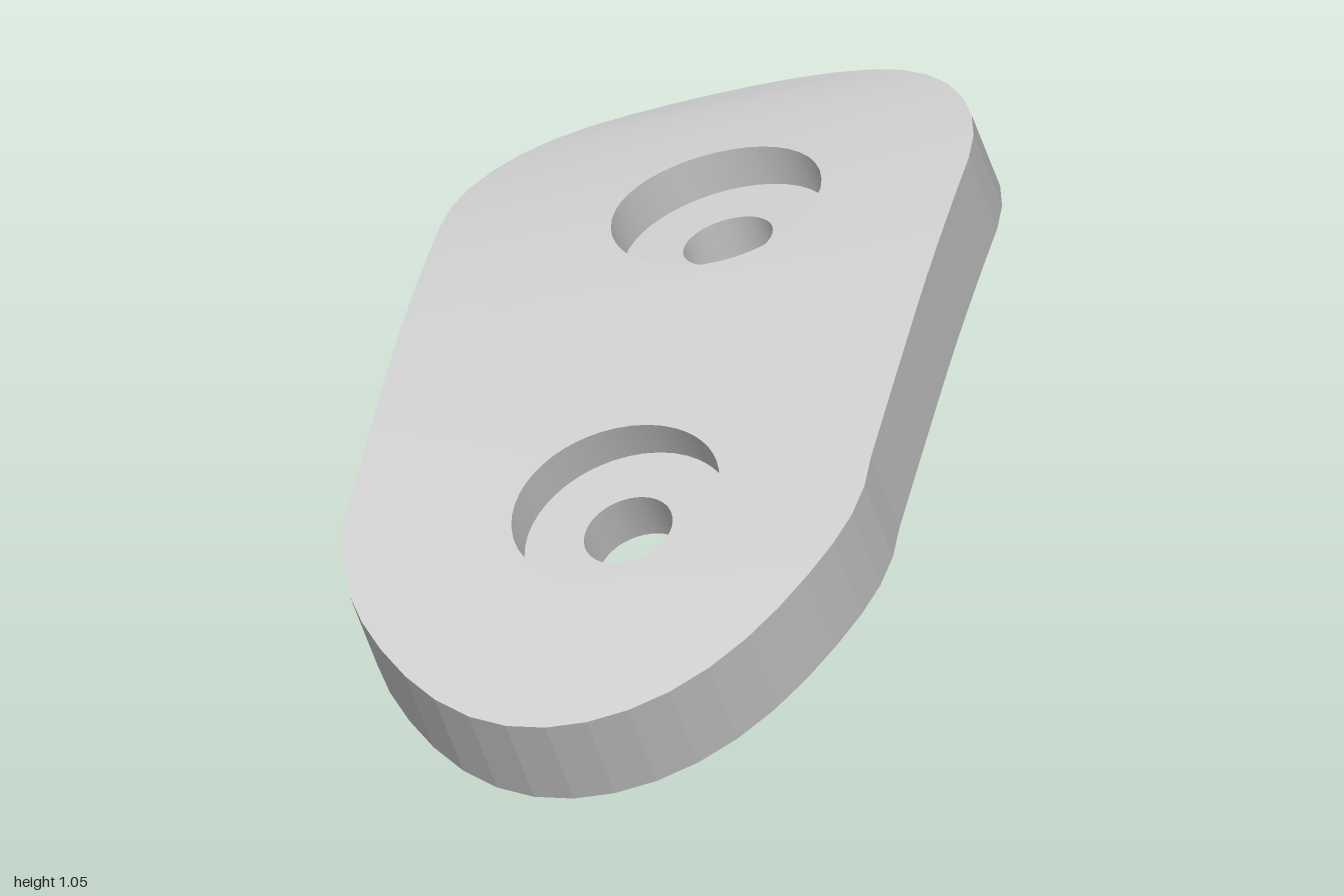
import * as THREE from 'three';
import { mergeGeometries, mergeVertices } from 'three/addons/utils/BufferGeometryUtils.js';

const V = (x, y, z) => new THREE.Vector3(x, y, z);

// Height of the curved top face along its length, plus a sideways tilt that grows to the ends
const zs = [-1, -0.8, -0.6, -0.4, -0.2, 0, 0.2, 0.4, 0.6, 0.8, 1];
const ys = [0.95, 0.956, 0.929, 0.886, 0.828, 0.757, 0.668, 0.572, 0.468, 0.35, 0.174];
const spine = new THREE.CubicInterpolant(zs, ys, 1, [0]);
const topY = (x, z) =>
  spine.evaluate(THREE.MathUtils.clamp(z, -1, 1))[0] + (0.195 + 0.1 * z * z) * (x + 0.02);

// The underside is the top face moved along the plate's thickness
const DROP = V(0.042, -0.172, -0.073);
const bottomY = (x, z) => topY(x - DROP.x, z - DROP.z) + DROP.y;

const SEAM = 0.085, HALF_WIDTH = 0.555;
const centreX = (z) => -0.03 + 0.015 * (z + 0.4);

const ends = [
  { sign: 1, z: 0.5, depth: 0.5, skew: 0.08, hole: [0.007, 0.52], axis: V(0.035, -0.15, -0.08) },
  { sign: -1, z: -0.4, depth: 0.525, skew: -0.02, hole: [0.007, -0.35], axis: V(0.04, -0.17, -0.04) },
];

// Joins matching loops of points with smooth quads
function loft(loops) {
  const n = loops[0].length, index = [];
  for (let r = 0; r < loops.length - 1; r++) {
    for (let i = 0; i < n - 1; i++) {
      const a = r * n + i, b = a + n;
      index.push(a, a + 1, b, a + 1, b + 1, b);
    }
  }
  const g = new THREE.BufferGeometry().setFromPoints(loops.flat());
  g.setIndex(index);
  g.computeVertexNormals();
  return g;
}

// One half of the outline: side, rounded end, side
function rimOf(e) {
  const pts = [];
  const side = (s, k) => {
    const z = THREE.MathUtils.lerp(SEAM, e.z, k);
    pts.push([centreX(z) + s * HALF_WIDTH, z]);
  };
  for (let i = 0; i < 5; i++) side(1, i / 5);
  for (let i = 0; i <= 20; i++) {
    const t = (i / 20) * Math.PI;
    pts.push([centreX(e.z) + HALF_WIDTH * Math.cos(t) + e.skew * Math.sin(t),
      e.z + e.sign * e.depth * Math.sin(t)]);
  }
  for (let i = 4; i >= 0; i--) side(-1, i / 5);
  if (e.sign < 0) pts.reverse();
  return pts.map(([x, z]) => V(x, topY(x, z), z));
}

// Rim closed by the straight seam across the middle of the plate
function closedLoop(rim) {
  const a = rim[rim.length - 1], b = rim[0], loop = [...rim];
  for (let i = 1; i <= 16; i++) {
    const p = a.clone().lerp(b, i / 16);
    loop.push(V(p.x, topY(p.x, p.z), p.z));
  }
  return loop;
}

// Circle around a hole axis, optionally slid along the axis onto a face
function circle(centre, axis, radius, angles, height) {
  const a = axis.clone().normalize();
  const u = V(1, 0, 0).addScaledVector(a, -a.x).normalize();
  const v = a.clone().cross(u);
  return angles.map((t) => {
    const p = centre.clone()
      .addScaledVector(u, radius * Math.cos(t)).addScaledVector(v, radius * Math.sin(t));
    for (let k = 0; height && k < 12; k++) {
      p.addScaledVector(axis, (height(p.x, p.z) - p.y) / (axis.y * 1.25));
    }
    return p;
  });
}

// Face between two loops, kept on the curved surface
function face(from, to, height) {
  const rows = [];
  for (let r = 0; r <= 10; r++) {
    rows.push(from.map((p, i) => {
      if (r === 0) return p;
      if (r === 10) return to[i];
      const q = p.clone().lerp(to[i], r / 10);
      return V(q.x, height(q.x, q.z), q.z);
    }));
  }
  return loft(rows);
}

export function createModel() {
  const group = new THREE.Group();
  const smooth = new THREE.MeshStandardMaterial({ color: 0xcccccc });
  const faceted = new THREE.MeshStandardMaterial({ color: 0xcccccc, flatShading: true });
  const add = (name, geometry, material = smooth) => {
    const mesh = new THREE.Mesh(geometry, material);
    mesh.name = name;
    group.add(mesh);
  };
  const tops = [], bottoms = [], walls = [];

  for (const e of ends) {
    const label = e.sign > 0 ? 'front' : 'back';
    const [hx, hz] = e.hole;
    const centre = V(hx, topY(hx, hz), hz);
    const seat = centre.clone().addScaledVector(e.axis, 0.5);
    const exit = centre.clone().add(e.axis);

    const rim = rimOf(e);
    const outer = closedLoop(rim);
    const lower = (pts) => pts.map((p) => p.clone().add(DROP));
    const angles = outer.map((p) => Math.atan2(p.z - hz, p.x - hx));

    const boreTop = circle(centre, e.axis, 0.222, angles, topY);
    const boreFloor = circle(seat, e.axis, 0.222, angles);
    const holeTop = circle(seat, e.axis, 0.095, angles);
    const holeExit = circle(exit, e.axis, 0.095, angles, bottomY);

    tops.push(face(boreTop, outer, topY));
    bottoms.push(face(lower(outer), holeExit, bottomY));
    walls.push(loft([rim, lower(rim)]));

    // Counterbored screw hole
    add(label + 'CounterboreWall', loft([boreFloor, boreTop]));
    add(label + 'CounterboreFloor', loft([holeTop, boreFloor]));
    add(label + 'ScrewHoleWall', loft([holeExit, holeTop]));
  }

  // Weld the two halves so shading runs across the seam
  const weld = (parts) => {
    const merged = mergeGeometries(parts);
    merged.deleteAttribute('normal');
    const g = mergeVertices(merged, 1e-4);
    g.computeVertexNormals();
    return g;
  };
  add('plateTop', weld(tops));
  add('plateUnderside', weld(bottoms));
  add('plateEdge', mergeGeometries(walls), faceted);
  return group;
}
